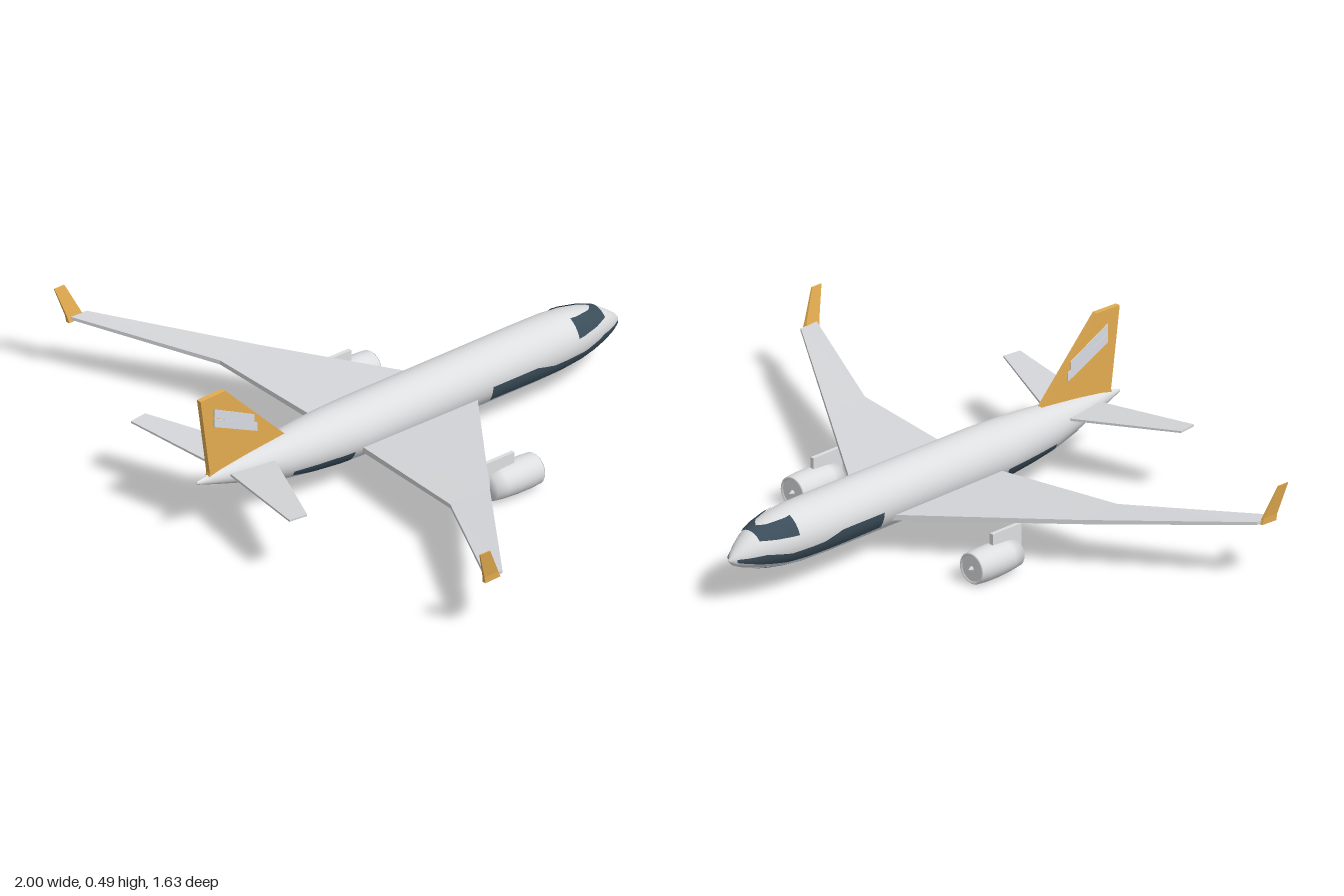
import * as THREE from 'three';

const mat = (name, color, side = THREE.FrontSide) => {
  const m = new THREE.MeshStandardMaterial({ color, side });
  m.name = name;
  return m;
};

// Closed skin through rings of points; winding is fixed by the signed volume
function loft(rings, smooth = false) {
  const n = rings[0].length, pos = rings.flat(2), idx = [];
  for (let i = 0; i < rings.length - 1; i++)
    for (let j = 0; j < n; j++) {
      const k = (j + 1) % n, a = i * n + j, b = i * n + k;
      idx.push(a, b, a + n, b, b + n, a + n);
    }
  const last = (rings.length - 1) * n;
  for (let j = 1; j < n - 1; j++) idx.push(0, j + 1, j, last, last + j, last + j + 1);
  const p = i => new THREE.Vector3().fromArray(pos, i * 3);
  let volume = 0;
  for (let i = 0; i < idx.length; i += 3) volume += p(idx[i]).dot(p(idx[i + 1]).cross(p(idx[i + 2])));
  if (volume < 0) idx.reverse();
  let g = new THREE.BufferGeometry();
  g.setAttribute('position', new THREE.Float32BufferAttribute(pos, 3));
  g.setIndex(idx);
  if (!smooth) g = g.toNonIndexed();
  g.computeVertexNormals();
  return g;
}

// Four-cornered section between a leading and a trailing point, thick along one axis
function section(lead, trail, axis, t) {
  const shift = (p, d) => p.map((v, i) => (i === axis ? v + d : v));
  return [shift(lead, t / 2), shift(trail, t / 2), shift(trail, -t / 2), shift(lead, -t / 2)];
}

// Fuselage stations: z, half width, bottom, top
const stations = [
  [-0.815, 0.003, 0.153, 0.159], [-0.80, 0.018, 0.138, 0.178], [-0.77, 0.037, 0.124, 0.202],
  [-0.73, 0.055, 0.111, 0.227], [-0.68, 0.071, 0.099, 0.245], [-0.62, 0.083, 0.089, 0.257],
  [-0.55, 0.089, 0.082, 0.263], [-0.45, 0.091, 0.080, 0.264], [0.22, 0.091, 0.081, 0.263],
  [0.30, 0.088, 0.084, 0.261], [0.40, 0.080, 0.094, 0.257], [0.50, 0.068, 0.106, 0.250],
  [0.62, 0.047, 0.136, 0.237], [0.73, 0.023, 0.169, 0.222], [0.813, 0.003, 0.195, 0.205],
];

function bodyAt(z) {
  let i = 0;
  while (i < stations.length - 2 && stations[i + 1][0] < z) i++;
  const a = stations[i], b = stations[i + 1], t = (z - a[0]) / (b[0] - a[0]);
  const [w, lo, hi] = [1, 2, 3].map(k => a[k] + (b[k] - a[k]) * t);
  return { w, c: (lo + hi) / 2, h: (hi - lo) / 2 };
}

// Painted panel lying on the fuselage side; edges are rows of [z, low y, high y]
function bodyPanel(edges, s) {
  const pos = [], idx = [], rows = 6, steps = 8;
  let cols = 0;
  for (let e = 0; e < edges.length - 1; e++)
    for (let k = e ? 1 : 0; k <= steps; k++, cols++) {
      const [z, lo, hi] = edges[e].map((v, i) => v + (edges[e + 1][i] - v) * k / steps);
      const { w, c, h } = bodyAt(z);
      const [a0, a1] = [lo, hi].map(y => Math.asin(THREE.MathUtils.clamp((y - c) / h, -1, 1)));
      for (let r = 0; r <= rows; r++) {
        const a = a0 + (a1 - a0) * r / rows;
        pos.push(s * (w + 0.003) * Math.cos(a), c + (h + 0.003) * Math.sin(a), z);
      }
    }
  for (let i = 0; i < cols - 1; i++)
    for (let r = 0; r < rows; r++) {
      const a = i * (rows + 1) + r, b = a + rows + 1;
      if (s > 0) idx.push(a, a + 1, b, a + 1, b + 1, b);
      else idx.push(a, b, a + 1, a + 1, b, b + 1);
    }
  const g = new THREE.BufferGeometry();
  g.setAttribute('position', new THREE.Float32BufferAttribute(pos, 3));
  g.setIndex(idx);
  g.computeVertexNormals();
  return g;
}

export function createModel() {
  const model = new THREE.Group();
  model.name = 'airliner';
  const white = mat('body white', 0xdddee0);
  const grey = mat('wing grey', 0xd4d5d8);
  const gold = mat('gold', 0xe3ac50);
  const navy = mat('dark blue', 0x3b4d5a, THREE.DoubleSide);
  const slate = mat('belly slate', 0x8794a0, THREE.DoubleSide);
  const pale = mat('pale stripe', 0xd8dbe4);
  const add = (name, geometry, material, parent = model) => {
    const m = new THREE.Mesh(geometry, material);
    m.name = name;
    parent.add(m);
    return m;
  };

  // Fuselage
  add('fuselage', loft(stations.map(([z, w, lo, hi]) => Array.from({ length: 32 }, (_, j) => {
    const a = j / 32 * Math.PI * 2;
    return [w * Math.cos(a), (lo + hi) / 2 + (hi - lo) / 2 * Math.sin(a), z];
  })), true), white);

  // Tail fin with two slanted stripes on each side
  add('tailFin', loft([
    section([0, 0.235, 0.47], [0, 0.20, 0.775], 0, 0.017),
    section([0, 0.25, 0.48], [0, 0.222, 0.77], 0, 0.017),
    section([0, 0.487, 0.71], [0, 0.484, 0.806], 0, 0.017),
  ]), gold);
  for (const s of [-1, 1])
    for (const [z0, y0, z1, y1] of [[0.755, 0.440, 0.60, 0.335], [0.755, 0.408, 0.588, 0.302]])
      add('finStripe', loft([
        section([s * 0.0095, y0, z0], [s * 0.0095, y0 - 0.029, z0], 0, 0.003),
        section([s * 0.0095, y1 + 0.029, z1], [s * 0.0095, y1, z1], 0, 0.003),
      ]), pale);

  for (const s of [-1, 1]) {
    const side = new THREE.Group();
    side.name = s > 0 ? 'leftSide' : 'rightSide';
    model.add(side);

    // Swept wing: x, leading z, trailing z, y, thickness
    const wing = [[0.03, -0.243, 0.235, 0.128, 0.018], [0.09, -0.20, 0.24, 0.133, 0.018],
      [0.54, 0.125, 0.278, 0.162, 0.014], [0.975, 0.435, 0.50, 0.200, 0.010]];
    add('wing', loft(wing.map(([x, l, t, y, d]) =>
      section([s * x, y, l], [s * x, y + 0.004, t], 1, d))), grey, side);

    // Upturned wing tip
    add('winglet', loft([
      section([s * 0.976, 0.193, 0.449], [s * 0.976, 0.191, 0.508], 0, 0.014),
      section([s * 0.979, 0.214, 0.458], [s * 0.979, 0.214, 0.512], 0, 0.010),
      section([s * 0.998, 0.31, 0.503], [s * 0.998, 0.31, 0.542], 0, 0.004),
    ]), gold, side);

    // Tailplane
    add('tailplane', loft([
      section([s * 0.01, 0.200, 0.535], [s * 0.01, 0.200, 0.703], 1, 0.008),
      section([s * 0.38, 0.222, 0.70], [s * 0.372, 0.222, 0.762], 1, 0.006),
    ]), grey, side);

    // Engine pod, fan, spinner and pylon
    const engine = new THREE.Group();
    engine.name = 'engine';
    engine.position.set(s * 0.383, 0.054, 0);
    side.add(engine);
    const pod = [[0.040, 0.175], [0.046, 0.181], [0.050, 0.176], [0.053, 0.14], [0.053, 0.09],
      [0.050, 0.04], [0.045, 0], [0, 0]].map(([r, l]) => new THREE.Vector2(r, l)).reverse();
    add('enginePod', new THREE.LatheGeometry(pod, 24).rotateX(-Math.PI / 2), white, engine);
    add('engineFan', new THREE.CylinderGeometry(0.041, 0.041, 0.004, 24).rotateX(Math.PI / 2), white, engine)
      .position.z = -0.174;
    add('spinner', new THREE.ConeGeometry(0.009, 0.016, 12).rotateX(-Math.PI / 2), white, engine)
      .position.z = -0.183;
    add('pylon', new THREE.BoxGeometry(0.013, 0.09, 0.12), white, engine).position.set(0, 0.043, -0.035);

    // Painted cockpit window, side panels and belly
    add('cockpitWindow', bodyPanel([[-0.73, 0.207, 0.233], [-0.68, 0.204, 0.241],
      [-0.60, 0.200, 0.250]], s), navy, side);
    add('forwardPanel', bodyPanel([[-0.80, 0.153, 0.162], [-0.715, 0.133, 0.166], [-0.63, 0.117, 0.150],
      [-0.50, 0.113, 0.151], [-0.43, 0.113, 0.169], [-0.257, 0.117, 0.169]], s), navy, side);
    add('rearPanel', bodyPanel([[0.27, 0.087, 0.143], [0.38, 0.105, 0.146], [0.49, 0.132, 0.149]], s), navy, side);
    add('belly', bodyPanel([-0.72, -0.62, -0.55, -0.45, 0.22, 0.30, 0.40, 0.50, 0.62].map(z => {
      const { c, h } = bodyAt(z);
      return [z, c - h, c - h * 0.84];
    }), s), slate, side);
  }
  return model;
}
